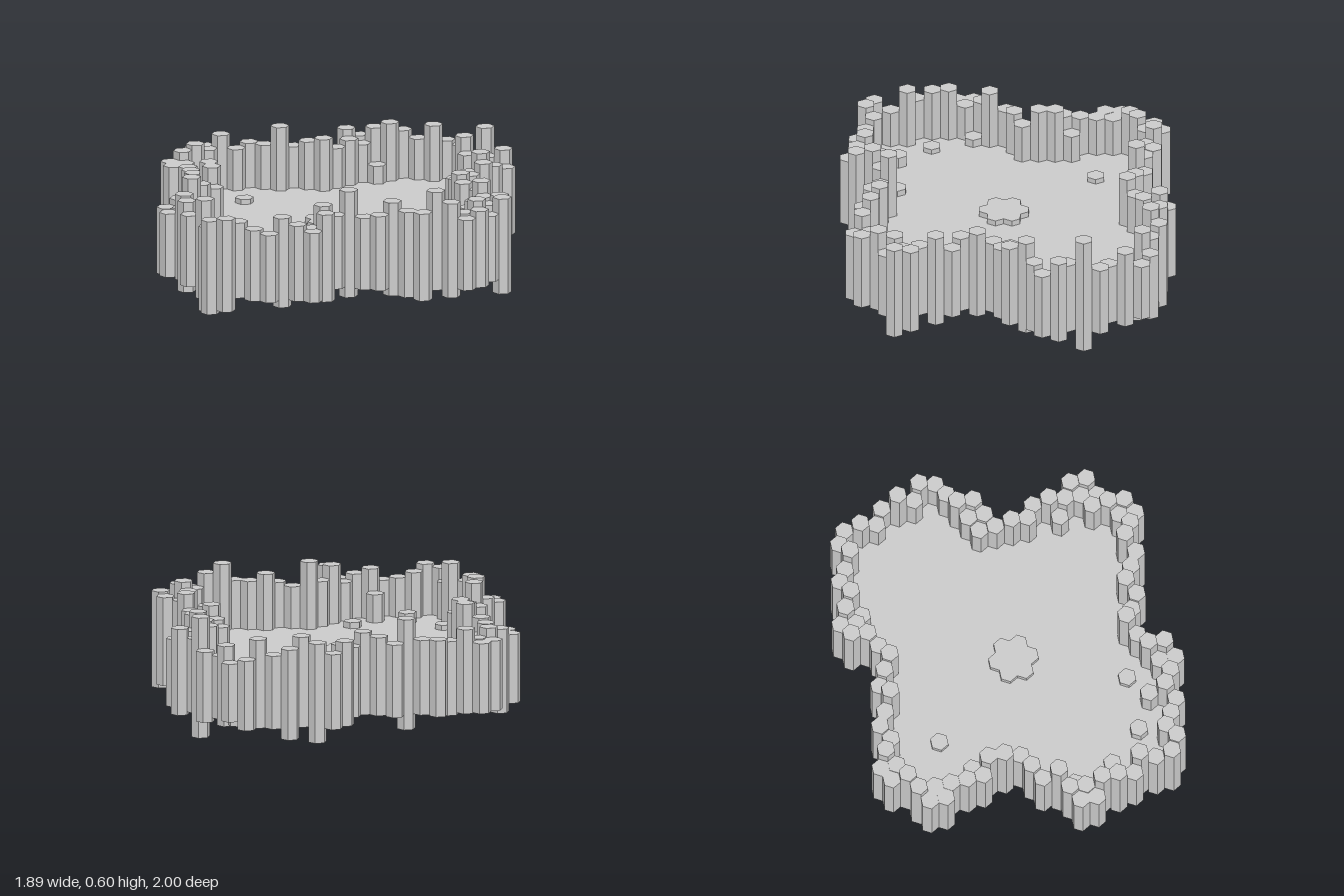
import * as THREE from 'three';

const PITCH = 0.08;                       // hexagon width across flats
const RADIUS = PITCH / Math.sqrt(3);
const COLUMN = RADIUS * 1.5;              // spacing of grid columns in x
const FLOOR_TOP = 0.26, FLOOR_BOTTOM = 0.11;

// Hexagonal neighbour steps: N, NE, SE, S, SW, NW as [grid columns, z]
const STEPS = [[0, -0.08], [1, -0.04], [1, 0.04], [0, 0.08], [-1, 0.04], [-1, -0.04]];

// Walk around the wall, one neighbour step per digit, clockwise from the back tip
const WALK = '221221233242422212212332344' // back edge and right arm
  + '3443443323443443'                     // right side
  + '4554554500500'                        // front edge
  + '5545545005'                           // left arm
  + '01101101100501101101';                // left side

// Columns that stand out, keyed by grid column and z in hundredths: [top, bottom]
const SPECIAL = {
  '-3,-96': [0.43, 0.14], '-2,-92': [0.5, 0.1], '1,-88': [0.6, 0], '3,-88': [0.52, 0.09],
  '4,-68': [0.555, 0.06], '5,-64': [0.525, 0.1], '6,-44': [0.525, 0.07], '7,-40': [0.5, 0.1],
  '9,-40': [0.54, 0.06], '11,-40': [0.5, 0.06], '12,-36': [0.51, 0.03], '12,-20': [0.53, 0.1],
  '13,-16': [0.5, 0.115], '13,-8': [0.47, 0.115], '12,-4': [0.545, 0.07], '11,0': [0.595, 0.1],
  '11,8': [0.5, 0.06], '10,12': [0.5, 0.07], '9,16': [0.54, 0.07], '7,32': [0.595, 0.06],
  '7,48': [0.55, 0.08], '8,52': [0.53, 0.09], '6,68': [0.51, 0.06], '3,96': [0.5, 0.03],
  '4,92': [0.515, 0.05], '3,88': [0.565, 0.06], '2,92': [0.445, 0.02], '1,88': [0.56, 0.06],
  '-1,88': [0.52, 0.065], '-2,84': [0.53, 0.1], '-3,88': [0.43, 0.11], '-4,68': [0.555, 0.06],
  '-6,44': [0.535, 0.065], '-7,40': [0.535, 0.06], '-12,28': [0.49, 0.07], '-12,20': [0.51, 0.11],
  '-13,16': [0.465, 0.115], '-13,8': [0.465, 0.115], '-12,4': [0.53, 0.11], '-9,-16': [0.58, 0.03],
  '-8,-28': [0.5, 0.11], '-7,-32': [0.52, 0.11], '-8,-52': [0.52, 0.1], '-7,-64': [0.52, 0.025],
  '-6,-68': [0.55, 0.1], '-6,-76': [0.5, 0.05], '-4,-84': [0.54, 0.1]
};

// Extra columns standing just inside the wall: [grid column, z, top]
const INNER = [
  [9, -0.32, 0.42], [11, -0.32, 0.47], [11, -0.24, 0.5], [12, -0.12, 0.48], [7, 0.56, 0.45],
  [5, 0.64, 0.4], [-3, 0.8, 0.44], [-8, 0.36, 0.4], [-11, 0.32, 0.45], [-12, 0.12, 0.47],
  [-7, -0.56, 0.45], [-6, -0.6, 0.35]
];

// Floor cells pushed up, leaving a dent underneath: [grid column, z, lift]
const STUDS = [[5, 0.48, 0.03], [3, 0.72, 0.055], [0, 0.76, 0.025], [-8, 0.12, 0.025]];
const ROSETTE_Z = 0.04, ROSETTE_LIFT = 0.028;

const polar = (x, y, r, degrees) => {
  const a = THREE.MathUtils.degToRad(degrees);
  return new THREE.Vector2(x + r * Math.cos(a), y + r * Math.sin(a));
};

// Outline of one hexagon, and of seven hexagons together
const hexagon = (col, z) => [0, 1, 2, 3, 4, 5].map((i) => polar(col * COLUMN, z, RADIUS, i * 60));
const rosette = [0, 1, 2, 3, 4, 5].flatMap((i) => {
  const direction = 30 + i * 60;
  const centre = polar(0, ROSETTE_Z, PITCH, direction);
  return [-90, -30, 30].map((turn) => polar(centre.x, centre.y, RADIUS, direction + turn));
});

export function createModel() {
  const group = new THREE.Group();
  const material = new THREE.MeshStandardMaterial({ color: 0xcccccc, flatShading: true });

  // Upright prism over an outline in x and z
  function prism(name, points, bottom, top, holes = []) {
    const shape = new THREE.Shape(points);
    shape.holes = holes.map((hole) => new THREE.Path(hole));
    const geometry = new THREE.ExtrudeGeometry(shape, { depth: top - bottom, bevelEnabled: false });
    const mesh = new THREE.Mesh(geometry.rotateX(Math.PI / 2), material);
    mesh.name = name;
    mesh.position.y = top;
    group.add(mesh);
  }

  // Seeded variation for the ordinary wall columns
  let seed = 7;
  const random = () => (seed = (seed * 16807) % 2147483647) / 2147483647;

  // Ring of wall columns
  const ring = [];
  let col = -3, zi = -96;
  for (const digit of WALK) {
    ring.push(new THREE.Vector2(col * COLUMN, zi / 100));
    const [top, bottom] = SPECIAL[`${col},${zi}`] ?? [0.43 + 0.06 * random(), 0.09 + 0.03 * random()];
    prism('wallColumn', hexagon(col, zi / 100), bottom, top);
    const [dc, dz] = STEPS[Number(digit)];
    col += dc;
    zi += Math.round(dz * 100);
  }
  for (const [c, z, top] of INNER) prism('innerColumn', hexagon(c, z), 0.1, top);

  // Floor slab, its edge running through the wall column centres
  const holes = [rosette, ...STUDS.map(([c, z]) => hexagon(c, z))];
  prism('floor', ring, FLOOR_BOTTOM, FLOOR_TOP, holes);

  // Raised cells: small studs and the central rosette
  for (const [c, z, lift] of STUDS) prism('floorStud', hexagon(c, z), FLOOR_BOTTOM + lift, FLOOR_TOP + lift);
  prism('centreRosette', rosette, FLOOR_BOTTOM + ROSETTE_LIFT, FLOOR_TOP + ROSETTE_LIFT);

  // Low column beside the front wall
  prism('innerColumn', hexagon(-3, 0.72), 0.1, 0.3);

  return group;
}
